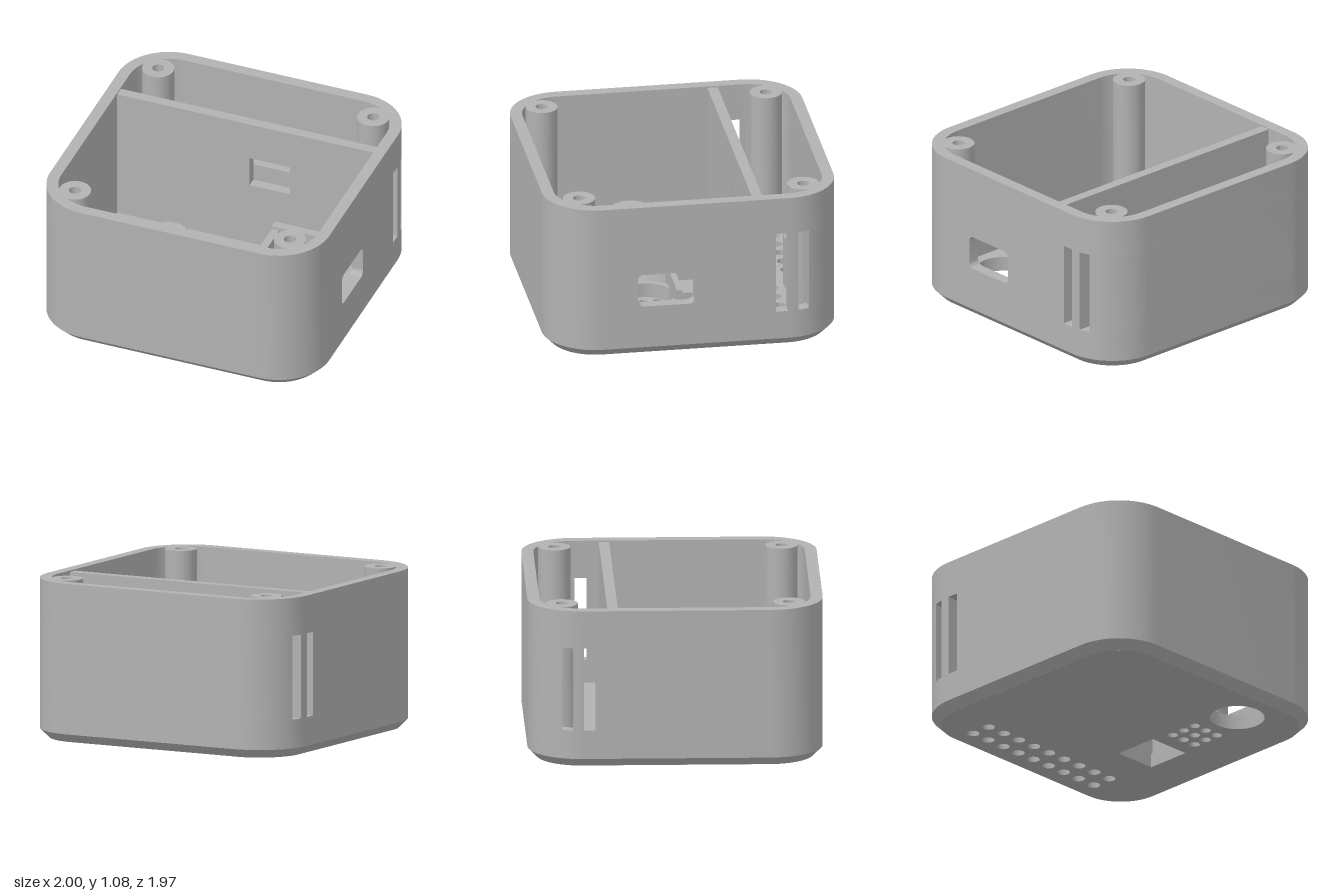
import * as THREE from 'three';
import { toCreasedNormals } from 'three/addons/utils/BufferGeometryUtils.js';

const CX = 0.64, CZ = 0.625;          // corner arc centres
const R_OUT = 0.36, R_IN = 0.28;      // outer and inner corner radii
const TOP = 1.075, CHAMFER = 0.06, FLOOR = 0.1;
const SLOT_LOW = 0.255, SLOT_HIGH = 0.82;

export function createModel() {
  const model = new THREE.Group();
  model.name = 'enclosure';
  const grey = new THREE.MeshStandardMaterial({ color: 0xb2b2b2 });
  grey.name = 'grey plastic';

  const add = (name, geo, x = 0, y = 0, z = 0) => {
    const mesh = new THREE.Mesh(toCreasedNormals(geo, 0.5), grey);
    mesh.name = name;
    mesh.position.set(x, y, z);
    model.add(mesh);
    return mesh;
  };
  const box = (name, x0, x1, y0, y1, z0, z1) =>
    add(name, new THREE.BoxGeometry(x1 - x0, y1 - y0, z1 - z0), (x0 + x1) / 2, (y0 + y1) / 2, (z0 + z1) / 2);
  const lathe = (name, pts, x, z, n = 48) =>
    add(name, new THREE.LatheGeometry(pts.map(p => new THREE.Vector2(...p)), n), x, 0, z);
  const extrude = (shape, depth) =>
    new THREE.ExtrudeGeometry(shape, { depth, bevelEnabled: false, curveSegments: 16 });
  // Plan shape (x, z) raised from y0 to y1
  const slab = (name, shape, y0, y1) => add(name, extrude(shape, y1 - y0).rotateX(Math.PI / 2), 0, y1, 0);
  const circle = (x, z, r) => new THREE.Path().absarc(x, z, r, 0, Math.PI * 2, true);
  const rect = (x0, x1, y0, y1, r = 0, P = THREE.Path) => {
    const p = new P();
    p.moveTo(x0 + r, y0).lineTo(x1 - r, y0);
    if (r) p.absarc(x1 - r, y0 + r, r, -Math.PI / 2, 0);
    p.lineTo(x1, y1 - r);
    if (r) p.absarc(x1 - r, y1 - r, r, 0, Math.PI / 2);
    p.lineTo(x0 + r, y1);
    if (r) p.absarc(x0 + r, y1 - r, r, Math.PI / 2, Math.PI);
    p.lineTo(x0, y0 + r);
    if (r) p.absarc(x0 + r, y0 + r, r, Math.PI, Math.PI * 1.5);
    return p;
  };

  // Floor with all its openings
  const floor = new THREE.Shape();
  [[1, 1, 0], [-1, 1, 1], [-1, -1, 2], [1, -1, 3]].forEach(([sx, sz, q]) =>
    floor.absarc(sx * CX, sz * CZ, R_OUT - CHAMFER, q * Math.PI / 2, (q + 1) * Math.PI / 2));
  for (let i = 0; i < 9; i++)
    for (const z of [-0.78, -0.635]) floor.holes.push(circle(-0.603 + i * 0.143, z, 0.042));
  for (let i = -1; i <= 1; i++)
    for (let j = -1; j <= 1; j++) floor.holes.push(circle(0.453 + i * 0.104, 0.252 + j * 0.103, 0.035));
  floor.holes.push(circle(0.455, 0.65, 0.183), rect(0.3, 0.61, -0.31, 0.01));
  slab('floor', floor, 0, FLOOR);

  // Slanted skirt: an open cylinder spread out to the rounded rectangle
  const skirt = new THREE.CylinderGeometry(R_OUT, R_OUT - CHAMFER, CHAMFER, 64, 1, true, Math.PI / 64);
  const p = skirt.attributes.position;
  for (let i = 0; i < p.count; i++) {
    p.setX(i, p.getX(i) + Math.sign(p.getX(i)) * CX);
    p.setZ(i, p.getZ(i) + Math.sign(p.getZ(i)) * CZ);
  }
  add('chamferedSkirt', skirt, 0, CHAMFER / 2, 0);

  // U-shaped end wall: everything beyond z = start
  const endOutline = (r, start) => {
    const a0 = Math.asin(Math.max(0, start - CZ) / r), half = [];
    for (let i = 0; i <= 16; i++) {
      const a = a0 + (Math.PI / 2 - a0) * i / 16;
      half.push(new THREE.Vector2(CX + r * Math.cos(a), CZ + r * Math.sin(a)));
    }
    if (start < CZ) half.unshift(new THREE.Vector2(CX + r, start));
    return [...half, ...half.map(v => new THREE.Vector2(-v.x, v.y)).reverse()];
  };
  const endWall = (name, start, y0, y1, back) => {
    const shape = new THREE.Shape([...endOutline(R_OUT, start), ...endOutline(R_IN, start).reverse()]);
    const mesh = slab(name, shape, y0, y1);
    if (back) mesh.rotation.y = Math.PI;
  };
  endWall('frontWall', 0.62, CHAMFER, TOP, false);
  endWall('backWallLower', 0.54, CHAMFER, SLOT_LOW, true);
  endWall('backWallMiddle', 0.765, SLOT_LOW, SLOT_HIGH, true);
  endWall('backWallUpper', 0.54, SLOT_HIGH, TOP, true);

  // Bars between the two side slots
  const edgeX = (r, z) => CX + Math.sqrt(r * r - Math.max(0, z - CZ) ** 2);
  for (const s of [1, -1]) {
    const outer = [], inner = [];
    for (let i = 0; i <= 4; i++) {
      const z = 0.62 + 0.07 * i / 4;
      outer.push(new THREE.Vector2(s * edgeX(R_OUT, z), -z));
      inner.unshift(new THREE.Vector2(s * edgeX(R_IN, z), -z));
    }
    slab('slotBar', new THREE.Shape([...outer, ...inner]), SLOT_LOW, SLOT_HIGH);
  }

  // Straight side walls, one with a rounded port opening
  for (const s of [1, -1]) {
    const side = rect(-0.62, 0.54, CHAMFER, TOP, 0, THREE.Shape);
    if (s > 0) side.holes.push(rect(-0.395, -0.01, 0.355, 0.585, 0.04));
    add(s > 0 ? 'leftWall' : 'rightWall', extrude(side, 0.08).rotateY(Math.PI / 2), s > 0 ? 0.92 : -1, 0, 0);
  }

  // Corner screw posts
  for (const x of [-0.77, 0.77])
    for (const z of [-0.76, 0.755])
      lathe('screwPost', [[0.108, FLOOR], [0.108, TOP], [0.04, TOP], [0.04, 0.6], [0, 0.6]], x, z, 32);

  // Partition with its window and a small rib
  const partition = rect(-0.92, 0.92, FLOOR, 1.065, 0, THREE.Shape);
  partition.holes.push(rect(0.03, 0.32, 0.57, 0.79));
  add('partition', extrude(partition, 0.07), 0, 0, -0.46);
  box('partitionRib', 0.165, 0.28, FLOOR, 0.5, -0.478, -0.455);

  // Stepped bracket on the back wall
  box('bracketPlate', -0.66, -0.29, FLOOR, 0.42, -0.91, -0.89);
  box('bracketBlock', -0.29, 0.23, FLOOR, 0.42, -0.91, -0.82);
  box('bracketTooth', 0.19, 0.28, FLOOR, 0.46, -0.91, -0.72);

  // Cone pedestal and the raised ring around the small grille
  lathe('conePedestal', [[0.413, FLOOR], [0.137, 0.49], [0.082, 0.49], [0.082, 0.3], [0, 0.3]], -0.317, 0.225);
  lathe('grilleRing', [[0.225, FLOOR], [0.225, 0.2], [0.185, 0.2], [0.185, FLOOR]], 0.453, 0.25);

  // Socket frame with a bridge across the square opening
  box('socketBackWall', 0.21, 0.695, FLOOR, 0.32, -0.39, -0.33);
  box('socketFrontWall', 0.21, 0.695, FLOOR, 0.32, 0.04, 0.08);
  for (const s of [1, -1]) {
    const a = 0.453 + s * 0.24, b = 0.453 + s * 0.187;
    box('socketSideWall', Math.min(a, b), Math.max(a, b), FLOOR, 0.3, -0.33, 0.04);
  }
  box('socketBridge', 0.37, 0.54, 0.18, 0.25, -0.33, 0.04);
  return model;
}
